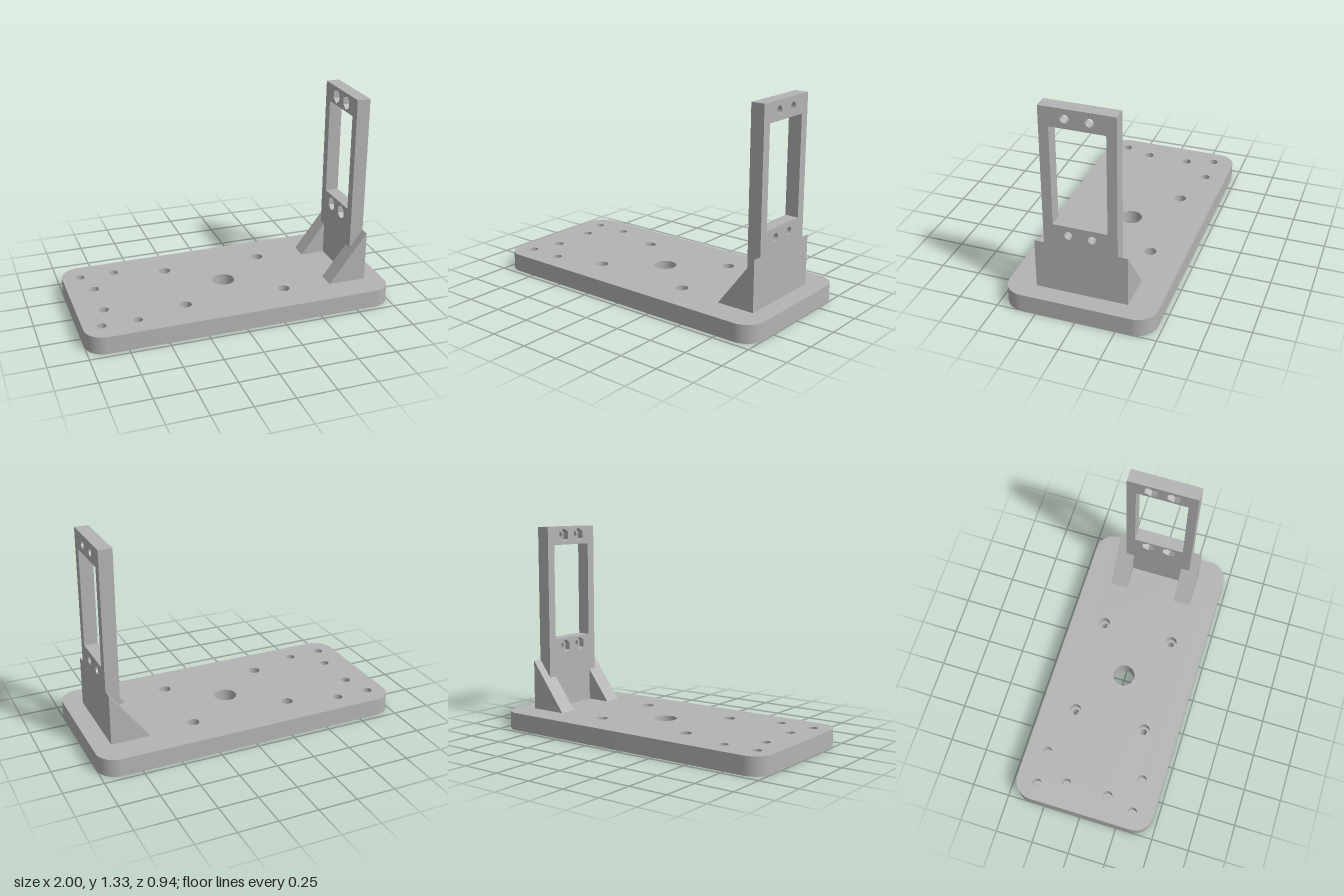
import * as THREE from 'three';
import { toCreasedNormals } from 'three/addons/utils/BufferGeometryUtils.js';

const H = 0.115; // base thickness

function circle(x, y, r, Type = THREE.Path) {
  return new Type().absarc(x, y, r, 0, Math.PI * 2, false);
}

// Hexagon with a corner pointing up
function hexagon(x, y, r, Type = THREE.Path) {
  const pts = [];
  for (let i = 0; i < 6; i++) {
    const a = Math.PI / 2 + (i * Math.PI) / 3;
    pts.push(new THREE.Vector2(x + r * Math.cos(a), y + r * Math.sin(a)));
  }
  return new Type(pts);
}

function polygon(points, Type = THREE.Shape) {
  return new Type(points.map(([x, y]) => new THREE.Vector2(x, y)));
}

function extrude(shape, depth) {
  const g = new THREE.ExtrudeGeometry(shape, { depth, bevelEnabled: false, curveSegments: 20 });
  return toCreasedNormals(g, 0.6);
}

export function createModel() {
  const model = new THREE.Group();
  model.name = 'servoStand';
  const grey = new THREE.MeshStandardMaterial({ color: 0xb3b3b3 });
  grey.name = 'grey plastic';

  const add = (name, geometry, parent = model) => {
    const mesh = new THREE.Mesh(geometry, grey);
    mesh.name = name;
    parent.add(mesh);
    return mesh;
  };

  // Base slab with rounded corners, lying flat
  const base = new THREE.Group();
  base.name = 'base';
  base.rotation.x = -Math.PI / 2;
  model.add(base);

  const W = 1, D = 0.47, R = 0.125;
  const slab = new THREE.Shape();
  slab.absarc(W - R, D - R, R, 0, Math.PI / 2);
  slab.absarc(-W + R, D - R, R, Math.PI / 2, Math.PI);
  slab.absarc(-W + R, -D + R, R, Math.PI, Math.PI * 1.5);
  slab.absarc(W - R, -D + R, R, Math.PI * 1.5, Math.PI * 2);
  slab.closePath();
  slab.holes.push(circle(0, 0, 0.073));

  // Blind sockets [x, z, radius, floor height, through radius]
  const sockets = [
    [-0.885, 0.33, 0.03, 0.04, 0],
    [-0.66, 0.33, 0.03, 0.04, 0],
    [-0.83, 0.143, 0.031, 0.04, 0],
    [-0.33, 0.243, 0.038, 0.055, 0.021],
    [0.33, 0.243, 0.038, 0.055, 0.021],
  ];
  for (const [x, z, r, floor, through] of sockets) {
    for (const s of [1, -1]) {
      slab.holes.push(circle(x, s * z, r));
      const plug = circle(x, s * z, r, THREE.Shape);
      if (through) plug.holes.push(circle(x, s * z, through));
      add(through ? 'screwSeat' : 'socketFloor', extrude(plug, floor), base);
    }
  }
  add('baseSlab', extrude(slab, H), base);

  // Upright frame, drawn across z and extruded along x
  const upright = new THREE.Group();
  upright.name = 'upright';
  upright.rotation.y = Math.PI / 2;
  upright.position.x = 0.795;
  model.add(upright);

  const T = 0.087, pocket = 0.04;
  const frame = polygon([[-0.227, H], [0.227, H], [0.227, 1.327], [-0.227, 1.327]]);
  frame.holes.push(polygon([[-0.167, 0.577], [0.167, 0.577], [0.167, 1.207], [-0.167, 1.207]], THREE.Path));

  // Screw holes with hexagonal nut pockets on the inner side
  for (const y of [0.517, 1.267]) {
    for (const z of [-0.072, 0.072]) {
      frame.holes.push(hexagon(z, y, 0.048));
      const seat = hexagon(z, y, 0.048, THREE.Shape);
      seat.holes.push(circle(z, y, 0.026));
      add('nutSeat', extrude(seat, T - pocket), upright).position.z = pocket;
    }
  }
  add('uprightFrame', extrude(frame, T), upright);

  // Triangular gussets either side of the upright
  const triangle = polygon([[0.635, H], [0.882, H], [0.882, 0.44]]);
  for (const [name, z] of [['leftGusset', 0.172], ['rightGusset', -0.288]]) {
    add(name, extrude(triangle, 0.116)).position.z = z;
  }

  return model;
}
